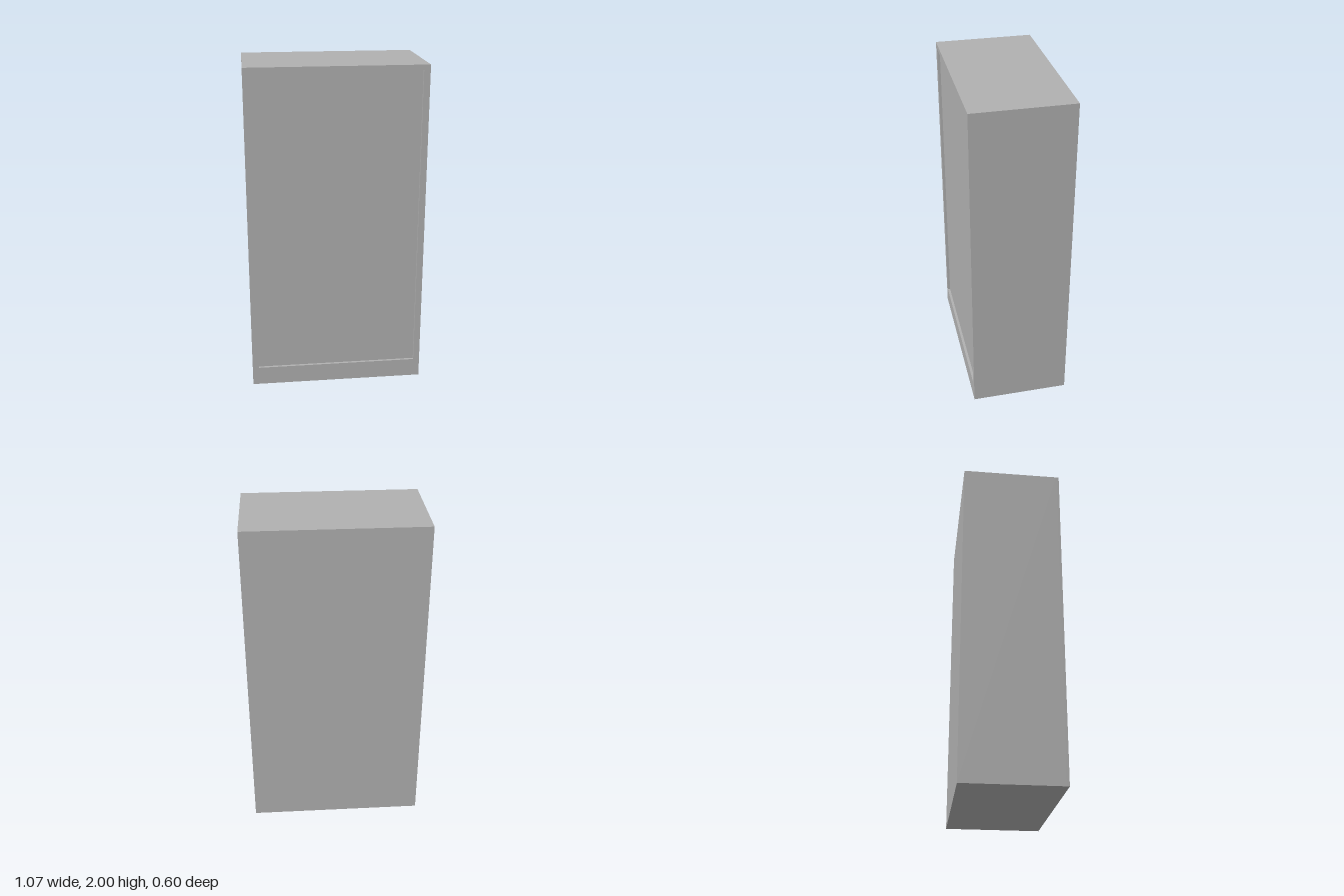
import * as THREE from 'three';

const W = 1.066, H = 2, D = 0.596;          // overall cabinet size
const RECESS = 0.016;                       // depth of the front panel recess
const PANEL = { left: -0.495, right: 0.495, bottom: 0.115, top: 1.97 };

export function createModel() {
  const grey = new THREE.MeshStandardMaterial({ color: 0xb0b0b0 });
  grey.name = 'grey';

  const model = new THREE.Group();
  model.name = 'cabinet';

  // Solid body, its front face forming the recessed panel
  const body = new THREE.Mesh(new THREE.BoxGeometry(W, H, D - RECESS), grey);
  body.name = 'body';
  body.position.set(0, H / 2, -RECESS / 2);
  model.add(body);

  // Front frame: outer rectangle with the panel opening cut out
  const shape = new THREE.Shape([
    new THREE.Vector2(-W / 2, 0), new THREE.Vector2(W / 2, 0),
    new THREE.Vector2(W / 2, H), new THREE.Vector2(-W / 2, H),
  ]);
  shape.holes.push(new THREE.Path([
    new THREE.Vector2(PANEL.left, PANEL.bottom), new THREE.Vector2(PANEL.left, PANEL.top),
    new THREE.Vector2(PANEL.right, PANEL.top), new THREE.Vector2(PANEL.right, PANEL.bottom),
  ]));
  const frame = new THREE.Mesh(
    new THREE.ExtrudeGeometry(shape, { depth: RECESS, bevelEnabled: false }), grey);
  frame.name = 'frontFrame';
  frame.position.z = D / 2 - RECESS;
  model.add(frame);

  return model;
}
